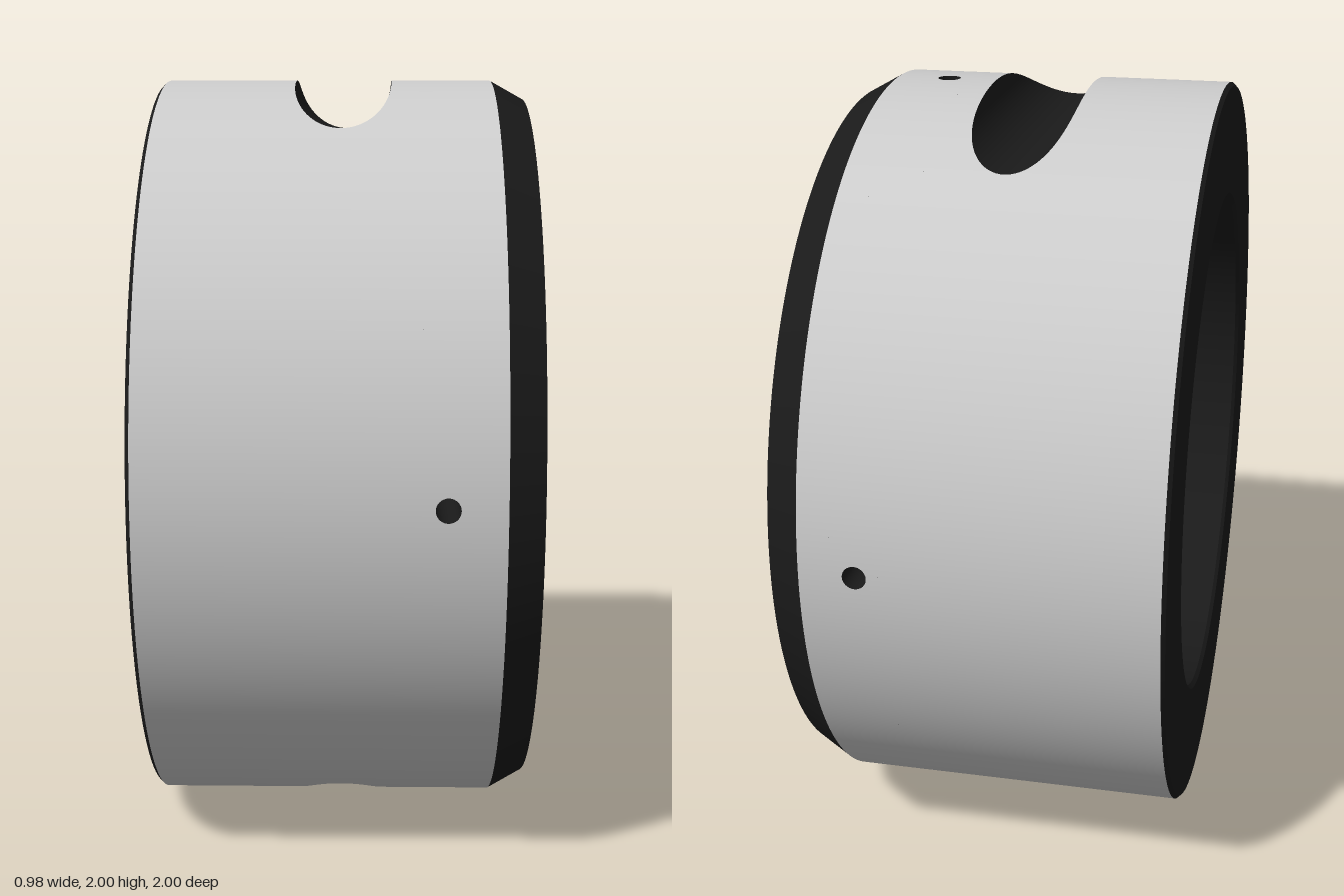
import * as THREE from 'three';
import { mergeGeometries } from 'three/addons/utils/BufferGeometryUtils.js';

const SLOT = 0.13;                        // radius of the round cutter for the slots
const HOLE = 0.03, HOLE_X = 0.26, BAND = 0.06;
const BORE = 0.69, GROOVE = 0.71;
const X0 = HOLE_X - BAND, X1 = HOLE_X + BAND;
const SLOT_END = Math.acos(1 - SLOT);

// Grid surface from fn(u, v) -> [x, y, z], facing du x dv; u and v run 0..1
function surface(fn, nu, nv) {
  const pos = [], idx = [];
  for (let i = 0; i <= nu; i++) {
    for (let j = 0; j <= nv; j++) {
      pos.push(...fn(i / nu, j / nv));
      if (i < nu && j < nv) {
        const a = i * (nv + 1) + j, b = a + nv + 1;
        idx.push(a, b, b + 1, a, b + 1, a + 1);
      }
    }
  }
  const g = new THREE.BufferGeometry();
  g.setAttribute('position', new THREE.Float32BufferAttribute(pos, 3));
  g.setIndex(idx);
  g.computeVertexNormals();
  return g;
}

// Exact radial normals, so that joined cylinder patches shade as one
function radial(g, sign) {
  const p = g.attributes.position, n = g.attributes.normal;
  for (let i = 0; i < p.count; i++) {
    const l = Math.hypot(p.getY(i), p.getZ(i)) * sign;
    n.setXYZ(i, 0, p.getY(i) / l, p.getZ(i) / l);
  }
  return g;
}

const polar = (x, r, t) => [x, r * Math.cos(t), r * Math.sin(t)];
const lerp = (a, b, t) => a + (b - a) * t;

// Cylinder band around the four drilled holes; sign -1 faces the axis
function drilledBand(r, sign) {
  const half = Math.asin(BAND / r), parts = [];
  const dir = (v) => (sign > 0 ? v : 1 - v);
  for (let k = 0; k < 4; k++) {
    const t0 = k * Math.PI / 2;
    parts.push(surface((u, v) =>
      polar(lerp(X0, X1, dir(v)), r, lerp(t0 + half, t0 + Math.PI / 2 - half, u)), 60, 1));
    parts.push(surface((u, v) => {
      const a = u * Math.PI * 2, c = Math.cos(a), s = Math.sin(a);
      const d = lerp(HOLE, BAND / Math.max(Math.abs(c), Math.abs(s)), dir(v));
      return polar(HOLE_X + d * c, r, t0 + Math.asin(d * s / r));
    }, 32, 3));
  }
  return parts.map((g) => radial(g, sign));
}

// Outer wall, narrowed beside the two slots
function outerWall() {
  const parts = [];
  for (const t0 of [0, Math.PI]) {
    const edge = (u) => {
      const s = 2 * u - 1, phi = s * s * Math.PI / 2;
      return [SLOT * Math.cos(phi), t0 + Math.sign(s) * Math.acos(1 - SLOT * Math.sin(phi))];
    };
    parts.push(surface((u, v) => { const [w, t] = edge(u); return polar(lerp(-0.48, -w, v), 1, t); }, 80, 1));
    parts.push(surface((u, v) => { const [w, t] = edge(u); return polar(lerp(w, X0, v), 1, t); }, 80, 1));
    parts.push(surface((u, v) =>
      polar(lerp(-0.48, X0, v), 1, lerp(t0 + SLOT_END, t0 + Math.PI - SLOT_END, u)), 96, 1));
  }
  parts.push(surface((u, v) => polar(lerp(X1, 0.4, v), 1, u * Math.PI * 2), 256, 1));
  return mergeGeometries([...parts.map((g) => radial(g, 1)), ...drilledBand(1, 1)]);
}

// Turned faces: every [radius, x] step is its own lathe, keeping edges sharp
function turned(points) {
  const parts = [];
  for (let i = 0; i + 1 < points.length; i++) {
    const pair = [points[i], points[i + 1]].map(([r, x]) => new THREE.Vector2(r, x));
    parts.push(new THREE.LatheGeometry(pair, 256));
  }
  return mergeGeometries(parts).rotateZ(-Math.PI / 2);
}

export function createModel() {
  const grey = new THREE.MeshStandardMaterial({ color: 0xcccccc, side: THREE.DoubleSide });
  const dark = new THREE.MeshStandardMaterial({ color: 0x1a1a1a, side: THREE.DoubleSide });
  const model = new THREE.Group();
  const ring = new THREE.Group();
  ring.name = 'ring';
  ring.position.y = 1;
  model.add(ring);

  const add = (name, geometry, material, turn = 0) => {
    const mesh = new THREE.Mesh(geometry, material);
    mesh.name = name;
    mesh.rotation.x = turn;
    ring.add(mesh);
  };

  add('outerWall', outerWall(), grey);

  // Chamfer, end face, flared mouth and bore up to the groove
  add('chamferedEnd', turned([[1, 0.4], [0.95, 0.49], [0.74, 0.49]]), dark);
  const mouth = [[0.74, 0.49], [0.717, 0.467], [0.7, 0.435], [BORE, 0.39]]
    .map(([r, x]) => new THREE.Vector2(r, x));
  add('boreMouth', new THREE.LatheGeometry(mouth, 256).rotateZ(-Math.PI / 2), dark);
  add('frontBore', turned([[BORE, 0.39], [BORE, X1], [GROOVE, X1]]), dark);

  // Inner groove that the drilled holes open into
  add('grooveFloor', mergeGeometries(drilledBand(GROOVE, -1)), dark);

  // Rest of the bore and the plain end
  add('rearBoreAndEnd', turned([[GROOVE, X0], [BORE, X0], [BORE, -0.48],
    [0.7, -0.49], [0.99, -0.49], [1, -0.48]]), dark);

  // Round-bottomed slots at top and bottom
  const slot = surface((u, v) => {
    const s = u < 0.5 ? 2 * u : 2 - 2 * u;
    const phi = s * s * Math.PI / 2, y = 1 - SLOT * Math.sin(phi);
    return [(u < 0.5 ? 1 : -1) * SLOT * Math.cos(phi), y, (2 * v - 1) * Math.sqrt(1 - y * y)];
  }, 80, 8);
  add('topSlot', slot, dark);
  add('bottomSlot', slot, dark, Math.PI);

  // Four radial holes
  const hole = surface((u, v) => {
    const a = u * Math.PI * 2, z = HOLE * Math.sin(a), r = lerp(GROOVE, 1, v);
    return [HOLE_X + HOLE * Math.cos(a), Math.sqrt(r * r - z * z), z];
  }, 32, 1);
  for (let k = 0; k < 4; k++) add('radialHole', hole, dark, k * Math.PI / 2);

  return model;
}
